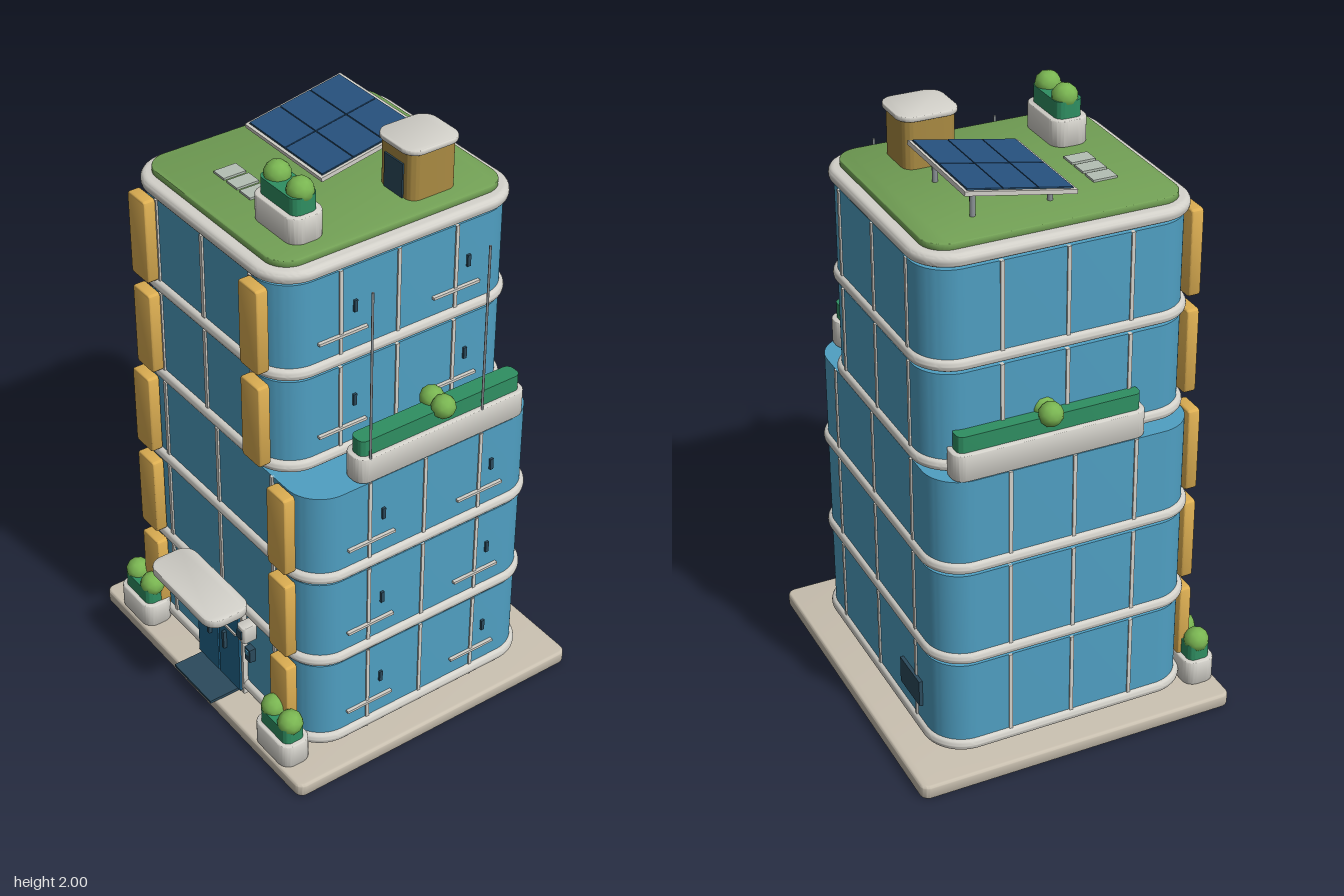
import * as THREE from 'three';
import { toCreasedNormals } from 'three/addons/utils/BufferGeometryUtils.js';

const mat = (color) => new THREE.MeshStandardMaterial({ color });
const M = {
  glass: mat(0x4f9fc2), trim: mat(0xd3d1ca), base: mat(0xc9c0b0), gold: mat(0xdcae52),
  lawn: mat(0x72a055), hedge: mat(0x2f8f62), bush: mat(0x7ab652), door: mat(0x22688f),
  dark: mat(0x2b4a5c), cell: mat(0x27527f), shed: mat(0xa98a42), rod: mat(0x8d9498), tile: mat(0xb4bfb4),
};

export function createModel() {
  const root = new THREE.Group();
  root.name = 'officeBuilding';

  const add = (name, geo, material, parent = root) => {
    const mesh = new THREE.Mesh(geo, material);
    mesh.name = name;
    parent.add(mesh);
    return mesh;
  };

  // Box given by its extents
  const box = (name, m, x0, x1, y0, y1, z0, z1, parent) => {
    const mesh = add(name, new THREE.BoxGeometry(x1 - x0, y1 - y0, z1 - z0), m, parent);
    mesh.position.set((x0 + x1) / 2, (y0 + y1) / 2, (z0 + z1) / 2);
    return mesh;
  };

  // Horizontal slab with rounded plan corners and an optional rounded rim
  const slab = (name, m, x0, x1, y0, y1, z0, z1, r, bevel = 0, parent = root) => {
    const w = (x1 - x0) / 2 - bevel, h = (z1 - z0) / 2 - bevel, q = Math.max(r - bevel, 0.002);
    const s = new THREE.Shape();
    s.absarc(w - q, h - q, q, 0, Math.PI / 2);
    s.absarc(-w + q, h - q, q, Math.PI / 2, Math.PI);
    s.absarc(-w + q, -h + q, q, Math.PI, Math.PI * 1.5);
    s.absarc(w - q, -h + q, q, Math.PI * 1.5, Math.PI * 2);
    s.closePath();
    const geo = new THREE.ExtrudeGeometry(s, {
      depth: y1 - y0 - 2 * bevel, curveSegments: 10, bevelEnabled: bevel > 0,
      bevelThickness: bevel, bevelSize: bevel, bevelSegments: 4,
    });
    geo.translate(0, 0, bevel).rotateX(-Math.PI / 2);
    const mesh = add(name, toCreasedNormals(geo, 0.6), m, parent);
    mesh.position.set((x0 + x1) / 2, y0, (z0 + z1) / 2);
    return mesh;
  };

  const bushes = (points, r, parent) => points.forEach(([x, y, z], i) => {
    const b = add('bush', new THREE.IcosahedronGeometry(r, 1), M.bush, parent);
    b.position.set(x, y, z);
    b.rotation.y = i * 1.3;
  });

  // Pot, clipped hedge and bushes
  const planter = (name, x0, x1, z0, z1, y, potH, hedgeH, r, inset, points, bushR) => {
    const g = new THREE.Group();
    g.name = name;
    root.add(g);
    slab('pot', M.trim, x0, x1, y, y + potH, z0, z1, r, 0.006, g);
    slab('hedge', M.hedge, x0 + inset, x1 - inset, y + potH - 0.01, y + potH + hedgeH,
      z0 + inset, z1 - inset, Math.max(r - inset, 0.01), 0, g);
    bushes(points.map(([x, z]) => [x, y + potH + hedgeH + 0.005, z]), bushR, g);
  };

  slab('groundSlab', M.base, -0.595, 0.595, 0, 0.05, -0.585, 0.525, 0.03, 0.01);

  // Storeys: the lower three are wide, the upper two are set back
  const wide = { x0: -0.497, x1: 0.497, posts: [-0.3, 0, 0.3], gold: [-0.382, 0.378] };
  const slim = { x0: -0.44, x1: 0.343, posts: [-0.3, -0.05, 0.205], gold: [-0.347, 0.253] };
  const zBack = -0.472, zFront = 0.41, sidePosts = [0.19, -0.02, -0.235];
  for (let i = 0; i < 5; i++) {
    const f = i < 3 ? wide : slim, y = 0.065 + i * 0.3375, top = y + 0.328;
    slab('glazing', M.glass, f.x0, f.x1, y + 0.01, top, zBack, zFront, 0.12);
    slab('floorBand', M.trim, f.x0 - 0.014, f.x1 + 0.016, y, y + 0.04, zBack - 0.014, zFront + 0.018, 0.135, 0.018);
    for (const x of f.posts) {
      if (i > 0 || x !== 0) box('frontMullion', M.trim, x - 0.007, x + 0.007, y + 0.03, top, zFront - 0.01, zFront + 0.006);
      box('backMullion', M.trim, x - 0.006, x + 0.006, y + 0.03, top, zBack - 0.005, zBack + 0.01);
    }
    for (const z of sidePosts) {
      box('rightMullion', M.trim, f.x1 - 0.01, f.x1 + 0.005, y + 0.03, top, z - 0.006, z + 0.006);
      box('leftMullion', M.trim, f.x0 - 0.005, f.x0 + 0.01, y + 0.03, top, z - 0.006, z + 0.006);
    }
    // Rails and window handles
    for (const z of [0.185, -0.235]) {
      box('windowRail', M.trim, f.x1, f.x1 + 0.012, y + 0.1, y + 0.109, z - 0.088, z + 0.088);
      box('windowHandle', M.dark, f.x1, f.x1 + 0.008, y + 0.17, y + 0.21, z - 0.052, z - 0.04);
    }
    // Upright gold panels with rounded corners
    for (const x of f.gold) {
      const p = slab('goldPanel', M.gold, -0.049, 0.049, 0, 0.042, -0.146, 0.146, 0.014, 0.007);
      p.rotation.x = Math.PI / 2;
      p.position.set(x, y + 0.184, zFront + 0.003);
    }
  }
  slab('roofBand', M.trim, -0.455, 0.361, 1.752, 1.795, -0.487, 0.428, 0.135, 0.018);
  slab('roofLawn', M.lawn, -0.415, 0.32, 1.79, 1.815, -0.447, 0.387, 0.08, 0.004);

  // Tall thin poles on the right side
  for (const z of [0.19, -0.235]) {
    const p = add('pole', new THREE.CylinderGeometry(0.004, 0.004, 1.69, 8), M.rod);
    p.position.set(0.497, 0.905, z);
  }
  box('backVent', M.dark, -0.345, -0.195, 0.165, 0.26, zBack - 0.012, zBack + 0.01);

  // Entrance
  const entry = new THREE.Group();
  entry.name = 'entrance';
  root.add(entry);
  box('doorFrame', M.trim, -0.135, 0.135, 0.05, 0.445, 0.4, 0.428, entry);
  for (const s of [-1, 1]) {
    const a = s * 0.004, b = s * 0.124;
    box('doorLeaf', M.door, Math.min(a, b), Math.max(a, b), 0.06, 0.436, 0.41, 0.436, entry);
    box('doorHandle', M.dark, s * 0.045 - 0.006, s * 0.045 + 0.006, 0.2, 0.27, 0.436, 0.448, entry);
    slab('wallLamp', M.trim, s * 0.178 - 0.022, s * 0.178 + 0.022, 0.335, 0.4, 0.41, 0.465, 0.012, 0.004, entry);
    box('lampLens', M.dark, s * 0.178 - 0.012, s * 0.178 + 0.012, 0.352, 0.385, 0.46, 0.47, entry);
  }
  box('doorRail', M.trim, -0.11, 0.11, 0.295, 0.303, 0.43, 0.442, entry);
  box('keypad', M.dark, 0.152, 0.182, 0.225, 0.278, 0.405, 0.432, entry);
  box('keypadScreen', M.glass, 0.159, 0.175, 0.25, 0.27, 0.43, 0.435, entry);
  box('doorMat', M.dark, -0.11, 0.11, 0.05, 0.06, 0.43, 0.545, entry);
  slab('canopy', M.trim, -0.19, 0.19, 0.443, 0.475, 0.42, 0.583, 0.05, 0.006, entry);

  // Planters at the entrance, on the terraces and on the roof
  for (const s of [-1, 1]) {
    const c = s * 0.413;
    planter('entrancePlanter', c - 0.094, c + 0.094, 0.41, 0.52, 0.05, 0.09, 0.055, 0.04, 0.016,
      [[c - 0.046, 0.465], [c + 0.046, 0.465]], 0.043);
    const t = s * 0.453;
    planter('terracePlanter', t - 0.048, t + 0.048, -0.415, 0.23, 1.07, 0.092, 0.055, 0.04, 0.017,
      [[t - 0.029, -0.095], [t + 0.029, -0.095]], 0.04);
  }
  planter('roofPlanter', 0.038, 0.262, 0.175, 0.3, 1.813, 0.088, 0.055, 0.045, 0.018,
    [[0.093, 0.235], [0.207, 0.235]], 0.043);

  // Stair hut
  const hut = new THREE.Group();
  hut.name = 'stairHut';
  root.add(hut);
  slab('hutWalls', M.shed, 0.09, 0.26, 1.813, 1.972, -0.3, -0.125, 0.035, 0, hut);
  slab('hutRoof', M.trim, 0.082, 0.27, 1.97, 1.987, -0.313, -0.113, 0.05, 0.004, hut);
  box('hutDoor', M.dark, 0.13, 0.22, 1.815, 1.93, -0.13, -0.12, hut);

  // Paving tiles
  for (const x of [-0.198, -0.128, -0.058]) box('pavingTile', M.tile, x - 0.028, x + 0.028, 1.81, 1.822, 0.17, 0.25);

  // Tilted solar array, three rows of two panels
  const solar = new THREE.Group();
  solar.name = 'solarArray';
  solar.position.set(-0.143, 1.893, -0.125);
  solar.rotation.x = 0.18;
  root.add(solar);
  box('solarFrame', M.trim, -0.202, 0.202, -0.009, 0.005, -0.183, 0.183, solar);
  box('solarBacking', M.dark, -0.192, 0.192, 0, 0.007, -0.173, 0.173, solar);
  for (let c = 0; c < 2; c++) for (let r = 0; r < 3; r++) {
    const x = -0.191 + c * 0.193, z = -0.172 + r * 0.1155;
    box('solarCell', M.cell, x, x + 0.189, 0.004, 0.01, z, z + 0.112, solar);
  }
  for (const x of [-0.275, -0.012]) {
    for (const [z, top] of [[0.0, 1.867], [-0.25, 1.91]]) {
      const leg = add('solarLeg', new THREE.CylinderGeometry(0.009, 0.009, top - 1.81, 10), M.rod);
      leg.position.set(x, (top + 1.81) / 2, z);
    }
  }

  return root;
}
